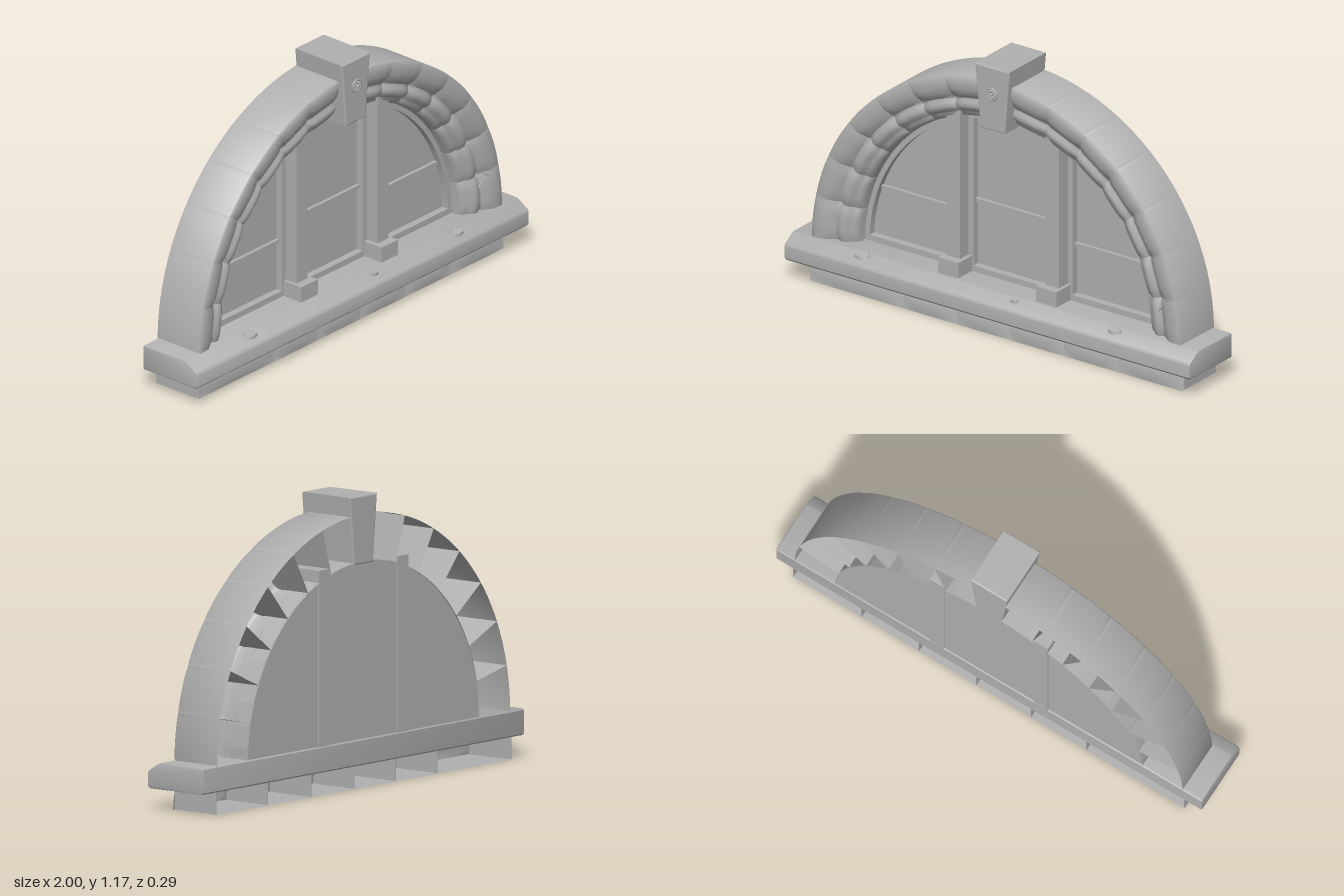
import * as THREE from 'three';
import { toCreasedNormals } from 'three/addons/utils/BufferGeometryUtils.js';

const stone = new THREE.MeshStandardMaterial({ color: 0xb0b0b0, side: THREE.DoubleSide });
stone.name = 'grey stone';

const CY = 0.19;       // height of the arch centre
const BACK = -0.143;   // rear plane

export function createModel() {
  const group = new THREE.Group();
  const add = (name, geo, x = 0, y = 0, z = 0) => {
    const m = new THREE.Mesh(geo, stone);
    m.name = name;
    m.position.set(x, y, z);
    group.add(m);
    return m;
  };
  // Box given by its width, height, centre and its back and front planes
  const box = (name, w, h, x, y, z0, z1) =>
    add(name, new THREE.BoxGeometry(w, h, z1 - z0), x, y, (z0 + z1) / 2);

  // Skin stretched over a list of equal-length cross-sections
  const skin = (rings) => {
    const n = rings[0].length, index = [];
    for (let i = 0; i < rings.length - 1; i++)
      for (let j = 0; j < n - 1; j++) {
        const a = i * n + j, b = a + n;
        index.push(a, b, a + 1, b, b + 1, a + 1);
      }
    const g = new THREE.BufferGeometry().setFromPoints(rings.flat());
    g.setIndex(index);
    return toCreasedNormals(g, 0.9);
  };

  // Extrusion from z0 to z1
  const slab = (name, shape, z0, z1, bevel = 0) => add(name, new THREE.ExtrudeGeometry(shape, {
    depth: z1 - z0 - 2 * bevel, bevelEnabled: bevel > 0, bevelSize: bevel,
    bevelThickness: bevel, bevelOffset: -bevel, bevelSegments: 2,
  }), 0, 0, z0 + bevel);
  const poly = (pts) => new THREE.Shape(pts.map(([x, y]) => new THREE.Vector2(x, y)));

  // Moulded arch stones: hollow shells, open at the back, pinched at the joints
  const profile = [
    [0.91, BACK], [0.91, 0.078], [0.905, 0.083], [0.88, 0.085], [0.855, 0.083], [0.835, 0.076],
    [0.818, 0.064], [0.81, 0.056], [0.802, 0.057], [0.79, 0.064], [0.775, 0.065], [0.76, 0.057],
    [0.752, 0.045], [0.744, 0.04], [0.734, 0.036], [0.725, 0.025], [0.72, 0.01], [0.72, BACK],
  ];
  const pinched = (t) => {
    const p = Math.abs(t) ** 3;
    return profile.map(([r, z]) => [
      r,
      z === BACK ? z : z - (r > 0.9 ? 0.002 : r > 0.85 ? 0.006 : 0.013) * p,
    ]);
  };
  const COUNT = 7, STEP = THREE.MathUtils.degToRad(86) / COUNT;
  const archStone = (start) => {
    const rings = [];
    for (let i = 0; i <= 10; i++) {
      const a = start + STEP * i / 10;
      rings.push(pinched(i / 5 - 1).map(([r, z]) =>
        new THREE.Vector3(r * Math.cos(a), CY + r * Math.sin(a), z)));
    }
    add('archStone', skin(rings));
    // joint wall
    const wall = new THREE.ShapeGeometry(poly(pinched(1)));
    wall.applyMatrix4(new THREE.Matrix4().makeBasis(
      new THREE.Vector3(Math.cos(start), Math.sin(start), 0),
      new THREE.Vector3(0, 0, 1),
      new THREE.Vector3(Math.sin(start), -Math.cos(start), 0)));
    add('archJoint', wall, 0, CY, 0);
  };
  for (let k = 0; k < COUNT; k++) {
    archStone(k * STEP);
    archStone(Math.PI - (k + 1) * STEP);
  }

  // Keystone with a small rosette
  slab('keystone', poly([[-0.06, 0.9], [0.06, 0.9], [0.085, 1.175], [-0.085, 1.175]]), BACK, 0.107, 0.006);
  add('rosetteRim', new THREE.TorusGeometry(0.025, 0.005, 6, 24), 0, 1.06, 0.11);
  for (let i = 0; i < 8; i++) {
    const a = i * Math.PI / 4;
    const petal = add('rosettePetal', new THREE.SphereGeometry(0.008, 8, 6),
      0.015 * Math.cos(a), 1.06 + 0.015 * Math.sin(a), 0.109);
    petal.scale.z = 0.8;
  }
  add('rosetteCentre', new THREE.SphereGeometry(0.007, 8, 6), 0, 1.06, 0.112);

  // Sill: profile drawn as (-z, y), run along x
  const sill = new THREE.ExtrudeGeometry(poly([
    [0.137, 0.09], [0.143, 0.096], [0.143, 0.191], [0.137, 0.197], [-0.078, 0.197], [-0.09, 0.193],
    [-0.138, 0.163], [-0.144, 0.153], [-0.144, 0.1], [-0.134, 0.09],
  ]), { depth: 1.988, bevelSize: 0.006, bevelThickness: 0.006, bevelOffset: -0.006, bevelSegments: 2 });
  sill.rotateY(Math.PI / 2);
  add('sill', toCreasedNormals(sill, 0.6), -0.994, 0, 0);

  // Base course: hollow stones under the sill with a front and a floor, open behind
  const joints = [-0.92, -0.46, -0.2, 0.06, 0.33, 0.6, 0.92];
  const baseSection = [[0, BACK], [0, 0.08], [0.02, 0.083], [0.045, 0.082], [0.07, 0.077], [0.092, 0.068]];
  joints.forEach((x, k) => {
    box('baseJoint', 0.003, 0.088, x - Math.sign(x) * 0.002, 0.046, BACK, 0.068);
    if (k === joints.length - 1) return;
    const rings = [];
    for (let i = 0; i <= 10; i++) {
      const p = Math.abs(i / 5 - 1) ** 3;
      rings.push(baseSection.map(([y, z]) => new THREE.Vector3(
        x + (joints[k + 1] - x) * i / 10, y, z - (y > 0 ? 0.008 * p : 0))));
    }
    add('baseStone', skin(rings));
  });

  // Region under the arch between two uprights
  const pane = (x0, x1, y0, R) => {
    const h = y0 - CY, xr = Math.min(x1, Math.sqrt(R * R - h * h));
    const a0 = Math.acos(xr / R), a1 = Math.acos(x0 / R);
    const pts = [[x0, y0], [xr, y0]];
    for (let i = 0; i <= 24; i++) {
      const a = a0 + (a1 - a0) * i / 24;
      if (i > 0 || x1 < R) pts.push([R * Math.cos(a), CY + R * Math.sin(a)]);
    }
    return pts;
  };
  const mirror = (pts) => pts.map(([x, y]) => [-x, y]).reverse();
  const frame = (name, outer, inner) => {
    const s = poly(outer);
    s.holes.push(new THREE.Path(inner.map(([x, y]) => new THREE.Vector2(x, y))));
    slab(name, s, -0.06, -0.02);
  };

  // Glazing and window frames
  slab('glass', poly(pane(-0.72, 0.72, 0.195, 0.722)), -0.138, -0.05);
  frame('centreFrame', pane(-0.21, 0.21, 0.195, 0.722), pane(-0.185, 0.185, 0.222, 0.698));
  const sideOuter = pane(0.28, 0.73, 0.195, 0.722), sideInner = pane(0.302, 0.73, 0.222, 0.698);
  frame('leftFrame', sideOuter, sideInner);
  frame('rightFrame', mirror(sideOuter), mirror(sideInner));
  box('centreBar', 0.38, 0.014, 0, 0.503, -0.055, -0.035);

  // Mullions, their feet and the side glazing bars
  for (const s of [-1, 1]) {
    box('mullion', 0.066, 0.71, s * 0.244, 0.55, BACK, 0.035);
    box('mullionFoot', 0.1, 0.066, s * 0.242, 0.23, -0.04, 0.073);
    box('sideBar', 0.35, 0.014, s * 0.475, 0.437, -0.055, -0.035);
  }

  // Flat chips lying on the sill edge
  for (const [x, r] of [[-0.64, 0.04], [0.11, 0.02], [0.605, 0.035]]) {
    const chip = add('stoneChip', new THREE.CylinderGeometry(r * 0.8, r, 0.012, 7), x, 0.193, 0.108);
    chip.scale.z = 0.65;
    chip.rotation.x = 0.25;
  }

  // Crack in the lowest arch stone
  const crack = [[0.79, 0.31, 0.062], [0.81, 0.335, 0.062], [0.84, 0.35, 0.078], [0.815, 0.365, 0.064], [0.83, 0.4, 0.066]]
    .map((p) => new THREE.Vector3(...p));
  add('crack', new THREE.TubeGeometry(new THREE.CatmullRomCurve3(crack, false, 'catmullrom', 0.1), 20, 0.004, 5));

  return group;
}
